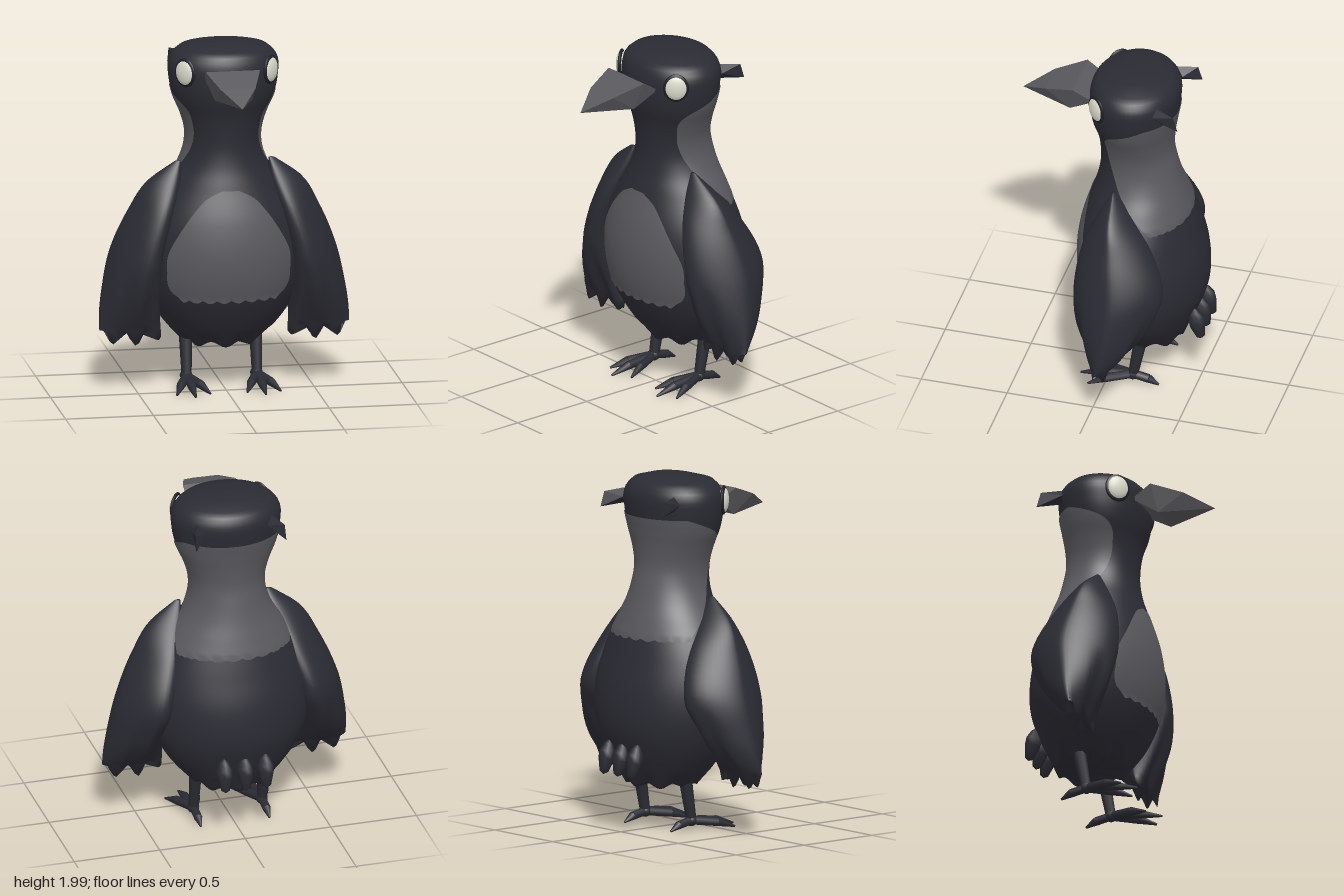
import * as THREE from 'three';
import { ConvexGeometry } from 'three/addons/geometries/ConvexGeometry.js';

const mat = (name, color, extra = {}) => {
  const m = new THREE.MeshStandardMaterial({ color, ...extra });
  m.name = name;
  return m;
};

// Smooth lookup through rows of [y, a, b, ...], listed from low y to high y
function table(rows) {
  const n = rows[0].length - 1;
  const curve = new THREE.CubicInterpolant(rows.map(r => r[0]), rows.flatMap(r => r.slice(1)), n, new Float32Array(n));
  return y => [...curve.evaluate(y)];
}

// Surface over a grid of points; rows run upward, columns turn from +z toward +x
function surface(grid, closed, caps = []) {
  const cols = grid[0].length, pos = grid.flat(2), idx = [];
  const last = closed ? cols : cols - 1;
  for (let i = 0; i < grid.length - 1; i++) {
    for (let j = 0; j < last; j++) {
      const a = i * cols + j, b = i * cols + (j + 1) % cols;
      idx.push(a, b, a + cols, b, b + cols, a + cols);
    }
  }
  caps.forEach((centre, end) => {
    const c = pos.length / 3, base = end ? (grid.length - 1) * cols : 0;
    pos.push(...centre);
    for (let j = 0; j < cols; j++) {
      const a = base + j, b = base + (j + 1) % cols;
      if (end) idx.push(a, b, c); else idx.push(b, a, c);
    }
  });
  const g = new THREE.BufferGeometry();
  g.setAttribute('position', new THREE.Float32BufferAttribute(pos, 3));
  g.setIndex(idx);
  g.computeVertexNormals();
  return g;
}

const range = (n, f) => Array.from({ length: n }, (_, i) => f(i));

// Body profile: y, half width, front z, back z
const bodyAt = table([
  [0.25, 0.21, -0.01, -0.39], [0.35, 0.3, 0.06, -0.43], [0.45, 0.375, 0.12, -0.475],
  [0.6, 0.44, 0.18, -0.522], [0.8, 0.46, 0.207, -0.517], [1.0, 0.42, 0.187, -0.465],
  [1.2, 0.315, 0.13, -0.402], [1.3, 0.253, 0.1, -0.37], [1.4, 0.217, 0.085, -0.345],
  [1.5, 0.214, 0.087, -0.325], [1.6, 0.242, 0.1, -0.328], [1.7, 0.285, 0.13, -0.343],
  [1.8, 0.308, 0.143, -0.36], [1.92, 0.302, 0.133, -0.357], [1.97, 0.255, 0.1, -0.32],
  [1.99, 0.215, 0.06, -0.285], [2.0, 0.15, 0.0, -0.22],
]);

function bodyPoint(y, a, lift = 0) {
  const [hx, zf, zb] = bodyAt(y);
  return [(hx + lift) * Math.sin(a), y, (zf + zb) / 2 + ((zf - zb) / 2 + lift) * Math.cos(a)];
}

function bodyGeometry() {
  const N = 64, M = 70;
  const grid = range(M + 1, i => range(N, j => {
    const a = j / N * Math.PI * 2;
    const p = bodyPoint(0.25 + 1.75 * i / M, a);
    // Ragged feather hem, fading out upward
    p[1] += 0.016 * Math.max(0, 1 - i / 4) * (1 - Math.cos(a * 8));
    return p;
  }));
  return surface(grid, true, [[0, 0.27, -0.2], [0, 2, -0.11]]);
}

// Thin coloured patch following the body; centre is its facing angle
function patch(y0, y1, centre, halfAngle, scallops) {
  const M = 40, N = 48;
  return surface(range(M + 1, i => range(N + 1, j => {
    const y = y0 + (y1 - y0) * i / M, u = j / N * 2 - 1;
    const p = bodyPoint(y, centre + u * halfAngle(y), 0.005);
    if (i === 0) p[1] -= 0.016 * Math.abs(Math.sin(u * scallops));
    return p;
  })), false);
}

// Wing profile: y, inner x, outer x, front z, back z
const wingAt = table([
  [0.33, 0.36, 0.71, -0.02, -0.105], [0.45, 0.365, 0.71, 0.05, -0.225], [0.6, 0.365, 0.69, 0.108, -0.325],
  [0.8, 0.35, 0.645, 0.126, -0.387], [1.05, 0.29, 0.54, 0.09, -0.29],
  [1.22, 0.25, 0.435, 0.015, -0.16], [1.33, 0.25, 0.285, -0.045, -0.065],
]);

function wingGeometry(s) {
  const N = 48, M = 28;
  const grid = range(M + 1, i => range(N, j => {
    let y = 0.33 + i / M;
    const a = s * j / N * Math.PI * 2, c = Math.cos(a);
    const low = THREE.MathUtils.clamp((0.75 - y) / 0.4, 0, 1);
    // Widest part sits toward the body, except low on the back edge
    const u = Math.sin(a) + ((c < 0 ? 0.5 : 0.15) * low - 0.4) * c * c;
    const [xi, xo, zf, zb] = wingAt(y);
    const wave = Math.cos((u + 0.15) * 8.4);
    const pleat = 1 - 0.13 * low * (1 - wave) * (1 - 0.5 * u);
    const depth = Math.sign(c) * Math.abs(c) ** 1.25 * pleat;
    if (i === 0) y += -0.012 - 0.04 * wave + 0.03 * u * u; // feather tips
    return [s * ((xi + xo) / 2 + (xo - xi) / 2 * u), y, (zf + zb) / 2 + (zf - zb) / 2 * depth];
  }));
  return surface(grid, true, [[s * 0.535, 0.36, -0.065], [s * 0.268, 1.335, -0.055]]);
}

const hull = pts => new ConvexGeometry(pts.map(p => new THREE.Vector3(...p)));
const bothSides = pts => pts.flatMap(([x, y, z]) => [[x, y, z], [-x, y, z]]);

// Tapered limb between two points
function limb(from, to, r0, r1) {
  const a = new THREE.Vector3(...from), b = new THREE.Vector3(...to), d = b.clone().sub(a);
  const g = new THREE.CylinderGeometry(r1, r0, d.length(), 8);
  g.applyQuaternion(new THREE.Quaternion().setFromUnitVectors(new THREE.Vector3(0, 1, 0), d.normalize()));
  return g.translate(...a.add(b).multiplyScalar(0.5).toArray());
}

export function createModel() {
  const model = new THREE.Group();
  model.name = 'bird';
  const plumage = mat('dark plumage', 0x2b2b34);
  const crestMat = mat('dark crest', 0x2b2b34, { flatShading: true });
  const grey = mat('grey plumage', 0x5a5a5f, { side: THREE.DoubleSide });
  const beakMat = mat('beak grey', 0x5a5a5f, { flatShading: true });
  const eyeMat = mat('pale eye', 0xdcdccd);
  const rimMat = mat('eye rim', 0x1f1f26);
  const add = (name, geometry, material, parent = model) => {
    const m = new THREE.Mesh(geometry, material);
    m.name = name;
    parent.add(m);
    return m;
  };

  add('body', bodyGeometry(), plumage);

  // Chest and nape patches
  const chestX = table([[0.565, 0.26], [0.59, 0.305], [0.64, 0.338], [0.72, 0.346], [0.82, 0.343],
    [0.95, 0.282], [1.09, 0.185], [1.15, 0.125], [1.19, 0.05]]);
  add('chestPatch', patch(0.565, 1.19, 0, y => Math.asin(chestX(y)[0] / bodyAt(y)[0]), 11), grey);
  const napeZ = table([[1.11, -0.27], [1.2, -0.18], [1.3, -0.09], [1.45, -0.02], [1.55, 0], [1.66, 0],
    [1.7, -0.04], [1.74, -0.13], [1.78, -0.23]]);
  add('napePatch', patch(1.11, 1.78, Math.PI, y => {
    const [, zf, zb] = bodyAt(y);
    return Math.acos(THREE.MathUtils.clamp((zf + zb - 2 * napeZ(y)[0]) / (zf - zb), -1, 1));
  }, 14), grey);

  add('beak', hull([...bothSides([[0.155, 1.905, 0.215], [0.1, 1.846, 0.39], [0.105, 1.745, 0.244],
    [0.14, 1.835, 0.1]]), [0, 1.765, 0.546]]), beakMat);

  for (const s of [1, -1]) {
    const side = s > 0 ? 'left' : 'right';
    add(side + 'Wing', wingGeometry(s), plumage);

    // Eye with a dark rim
    const eye = new THREE.Group();
    eye.name = side + 'Eye';
    eye.position.set(s * 0.243, 1.865, 0.052);
    eye.rotation.y = s * 0.87;
    model.add(eye);
    add('eyeRim', new THREE.SphereGeometry(1, 24, 16).scale(0.073, 0.083, 0.018), rimMat, eye);
    add('eyeball', new THREE.SphereGeometry(1, 24, 16).scale(0.064, 0.073, 0.028), eyeMat, eye);

    // Thin tuft behind the head
    add(side + 'Tuft', hull([[0.26, 1.9, -0.4], [0.263, 1.815, -0.425], [0.215, 1.915, -0.29],
      [0.215, 1.83, -0.29], [0.182, 1.87, -0.33], [0.248, 1.87, -0.275]].map(([x, y, z]) => [s * x, y, z])), crestMat);

    // Leg and toes
    const leg = new THREE.Group();
    leg.name = side + 'Leg';
    model.add(leg);
    const x = s * 0.2, ankle = [x, 0.06, -0.15];
    add('shin', limb(ankle, [x, 0.36, -0.205], 0.029, 0.04), plumage, leg);
    add('ankle', new THREE.SphereGeometry(0.034, 10, 8).translate(...ankle), plumage, leg);
    for (const [dx, z] of [[0, 0.155], [0.095, 0.09], [-0.095, 0.09], [0, -0.3]]) {
      const knuckle = [x + dx * 0.6, 0.042, -0.15 + (z + 0.15) * 0.6];
      add('toe', limb(ankle, knuckle, 0.025, 0.025), plumage, leg);
      add('claw', limb(knuckle, [x + dx, 0.012, z], 0.025, 0.006), plumage, leg);
    }
  }

  // Tail feathers
  const drop = [[0.001, -0.1], [0.025, -0.085], [0.046, -0.01], [0.047, 0.03], [0.028, 0.075], [0.001, 0.105]];
  for (const x of [-0.12, 0, 0.12]) {
    const feather = add('tailFeather', new THREE.LatheGeometry(drop.map(p => new THREE.Vector2(...p)), 8), plumage);
    feather.position.set(x, 0.42, -0.5);
    feather.rotation.x = 0.25;
  }
  return model;
}
